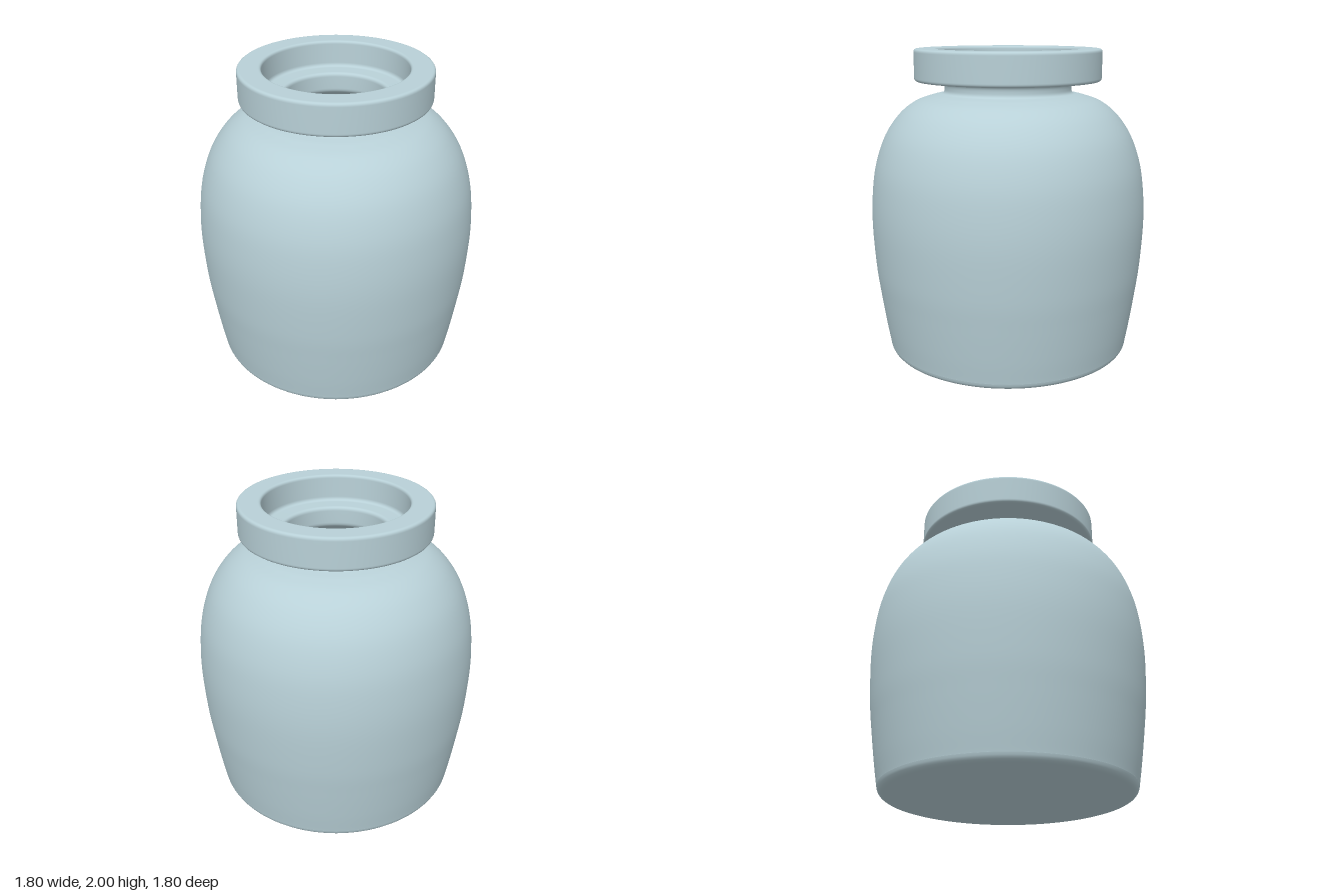
import * as THREE from 'three';

// Adds a softly rounded corner at (x, y), reaching r along the way in (from a) and out (to b)
function roundCorner(path, a, [x, y, r], b) {
  const c = new THREE.Vector2(x, y);
  const toward = (p) => new THREE.Vector2(p[0], p[1]).sub(c).setLength(r).add(c);
  const start = toward(a), end = toward(b);
  path.lineTo(start.x, start.y);
  path.quadraticCurveTo(x, y, end.x, end.y);
}

function roundChain(path, pts) {
  for (let i = 1; i < pts.length - 1; i++) roundCorner(path, pts[i - 1], pts[i], pts[i + 1]);
}

const vec = (pts) => pts.map(([x, y]) => new THREE.Vector2(x, y));

export function createModel() {
  const group = new THREE.Group();
  group.name = 'jar';
  const glaze = new THREE.MeshStandardMaterial({ color: 0xb8d0d7 });
  glaze.name = 'pale blue glaze';

  const path = new THREE.Path();
  path.moveTo(0, 0);

  // Base and its rounded foot
  roundChain(path, [[0, 0], [0.802, 0.006, 0.045], [0.812, 0.07]]);

  // Bulging outer wall up to the shoulder
  path.splineThru(vec([
    [0.812, 0.07], [0.834, 0.2], [0.863, 0.4], [0.887, 0.6], [0.902, 0.88],
    [0.892, 1.1], [0.862, 1.28], [0.80, 1.45], [0.71, 1.58], [0.61, 1.66], [0.51, 1.697], [0.455, 1.71],
  ]));

  // Neck, collar, stepped mouth
  roundChain(path, [
    [0.455, 1.71], [0.412, 1.718, 0.025], [0.412, 1.79, 0.035], [0.605, 1.796, 0.022],
    [0.605, 2, 0.022], [0.455, 2, 0.02], [0.45, 1.83, 0.025],
    [0.327, 1.825, 0.025], [0.327, 1.69, 0.03], [0.45, 1.65],
  ]);

  // Hollow inside, down to the floor
  path.splineThru(vec([
    [0.45, 1.64], [0.57, 1.59], [0.68, 1.49], [0.77, 1.32], [0.81, 1.1],
    [0.82, 0.88], [0.805, 0.6], [0.78, 0.4], [0.745, 0.16],
  ]));
  roundChain(path, [[0.745, 0.16], [0.735, 0.08, 0.05], [0, 0.08]]);
  path.lineTo(0, 0.08);

  const body = new THREE.Mesh(new THREE.LatheGeometry(path.getPoints(6), 96), glaze);
  body.name = 'jarBody';
  group.add(body);
  return group;
}
